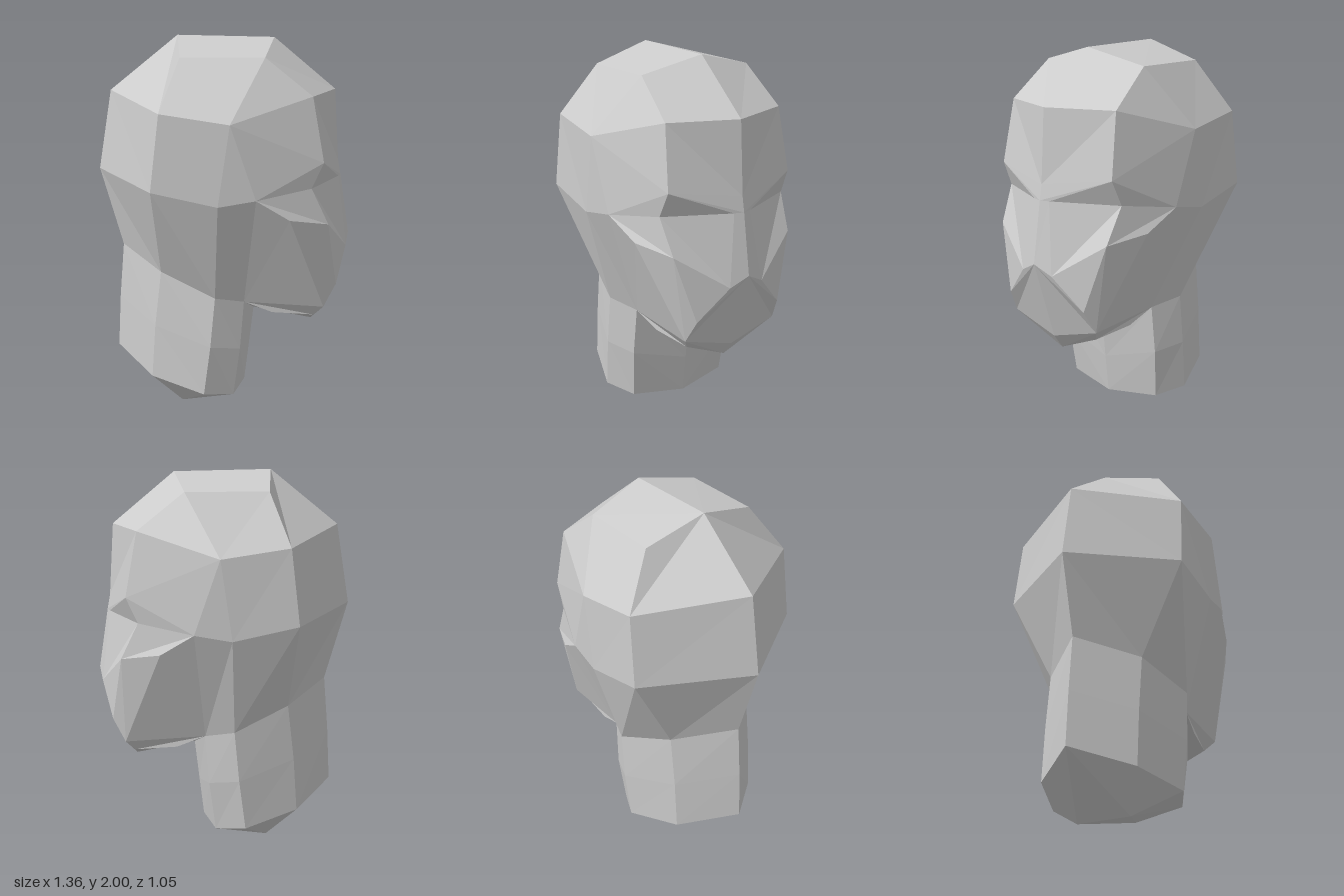
import * as THREE from 'three';

// Named points on the model's +z half; the face looks along +x.
const crown = { K: [-0.25, 2, 0], C: [-0.215, 1.91, 0.325], B: [0.21, 1.91, 0.325], M: [0.26, 1.99, 0] };
const skull = { K: [-0.61, 1.71, 0], C: [-0.31, 1.65, 0.5], D: [0.04, 1.6, 0.52], A: [0.45, 1.72, 0.35], M: [0.585, 1.72, 0] };
const ear = { K: [-0.68, 1.285, 0], C: [-0.355, 1.26, 0.515], D: [-0.02, 1.19, 0.525], F: [0.17, 1.22, 0.505] };
const brow = { A: [0.51, 1.39, 0.375], M: [0.61, 1.34, 0] };
const eye = { A: [0.45, 1.26, 0.385], N: [0.61, 1.26, 0.05], M: [0.625, 1.26, 0] };
const cheek = { G: [0.34, 1.11, 0.46], A: [0.54, 1.07, 0.365] };
const mouth = { top: [0.675, 0.94, 0], side: [0.655, 0.89, 0.1], corner: [0.595, 0.72, 0.26], base: [0.54, 0.52, 0] };
const jaw = { J: [0.53, 0.6, 0.285], Q: [0.26, 0.565, 0.28], low: [0.48, 0.54, 0.24], chin: [0.48, 0.44, 0] };

// Half rings of the neck, back to front
const neckRings = [
  [[-0.56, 0.86, 0], [-0.33, 0.78, 0.27], [-0.04, 0.67, 0.38], [0.11, 0.63, 0.305], [0.16, 0.5, 0]],
  [[-0.585, 0.56, 0], [-0.365, 0.48, 0.27], [-0.065, 0.4, 0.385], [0.09, 0.37, 0.315], [0.135, 0.28, 0]],
  [[-0.6, 0.27, 0], [-0.385, 0.19, 0.27], [-0.1, 0.13, 0.375], [0.055, 0.1, 0.295], [0.11, 0.07, 0]],
];

// Join successive half rings with quads
function loft(rings) {
  const polys = [];
  for (let r = 0; r + 1 < rings.length; r++) {
    const a = rings[r], b = rings[r + 1];
    for (let i = 0; i + 1 < Math.min(a.length, b.length); i++) polys.push([a[i], b[i], b[i + 1], a[i + 1]]);
  }
  return polys;
}

// Fan every polygon into triangles, and mirror it across z = 0
function mirroredMesh(name, polys, material) {
  const pos = [];
  for (const p of polys) {
    for (let i = 1; i + 1 < p.length; i++) {
      const t = [p[0], p[i], p[i + 1]];
      if (new Set(t).size < 3) continue;
      for (const v of t) pos.push(...v);
      for (const v of t.reverse()) pos.push(v[0], v[1], -v[2]);
    }
  }
  const geometry = new THREE.BufferGeometry();
  geometry.setAttribute('position', new THREE.Float32BufferAttribute(pos, 3));
  geometry.computeVertexNormals();
  const mesh = new THREE.Mesh(geometry, material);
  mesh.name = name;
  return mesh;
}

export function createModel() {
  const group = new THREE.Group();
  group.name = 'headBust';
  const mat = new THREE.MeshStandardMaterial({ color: 0xcccccc, flatShading: true });
  const [nk, nc, nd, ne, throat] = neckRings[0];

  // Skull: crown down to jaw line; repeated points collapse quads to triangles
  const { K, C, D, F } = ear;
  const head = loft([
    [crown.K, crown.C, crown.B, crown.B, crown.B, crown.B, crown.M],
    [skull.K, skull.C, skull.D, skull.D, skull.D, skull.A, skull.M],
    [K, C, D, F, F, brow.A, brow.M],
    [K, C, D, F, F, eye.A],
    [K, C, D, F, cheek.G, cheek.A],
    [nk, nc, nd, ne, ne, jaw.J],
  ]);
  head.push([crown.K, crown.C, crown.B, crown.M]);
  group.add(mirroredMesh('skull', head, mat));

  // Face: eye ledge, cheeks and nose bridge
  group.add(mirroredMesh('face', [
    [brow.A, eye.A, eye.N, eye.M, brow.M],
    [eye.A, cheek.A, mouth.side, eye.N],
    [eye.N, mouth.side, mouth.top, eye.M],
    [cheek.A, mouth.corner, mouth.side],
    [cheek.A, jaw.J, mouth.corner],
  ], mat));

  // Muzzle plane
  group.add(mirroredMesh('mouth', [[mouth.top, mouth.side, mouth.corner, jaw.J, mouth.base]], mat));

  // Chin and underside of the jaw
  group.add(mirroredMesh('jaw', [
    [jaw.J, jaw.low, jaw.chin, mouth.base],
    [ne, jaw.Q, jaw.low, jaw.J],
    [ne, throat, jaw.chin, jaw.low, jaw.Q],
  ], mat));

  // Neck with its slanted, pointed base
  const base = [-0.23, 0, 0.15], mid = [-0.23, 0, 0];
  const neck = loft(neckRings);
  neck.push([base, mid, ...[...neckRings[2]].reverse(), mid]);
  group.add(mirroredMesh('neck', neck, mat));

  return group;
}
